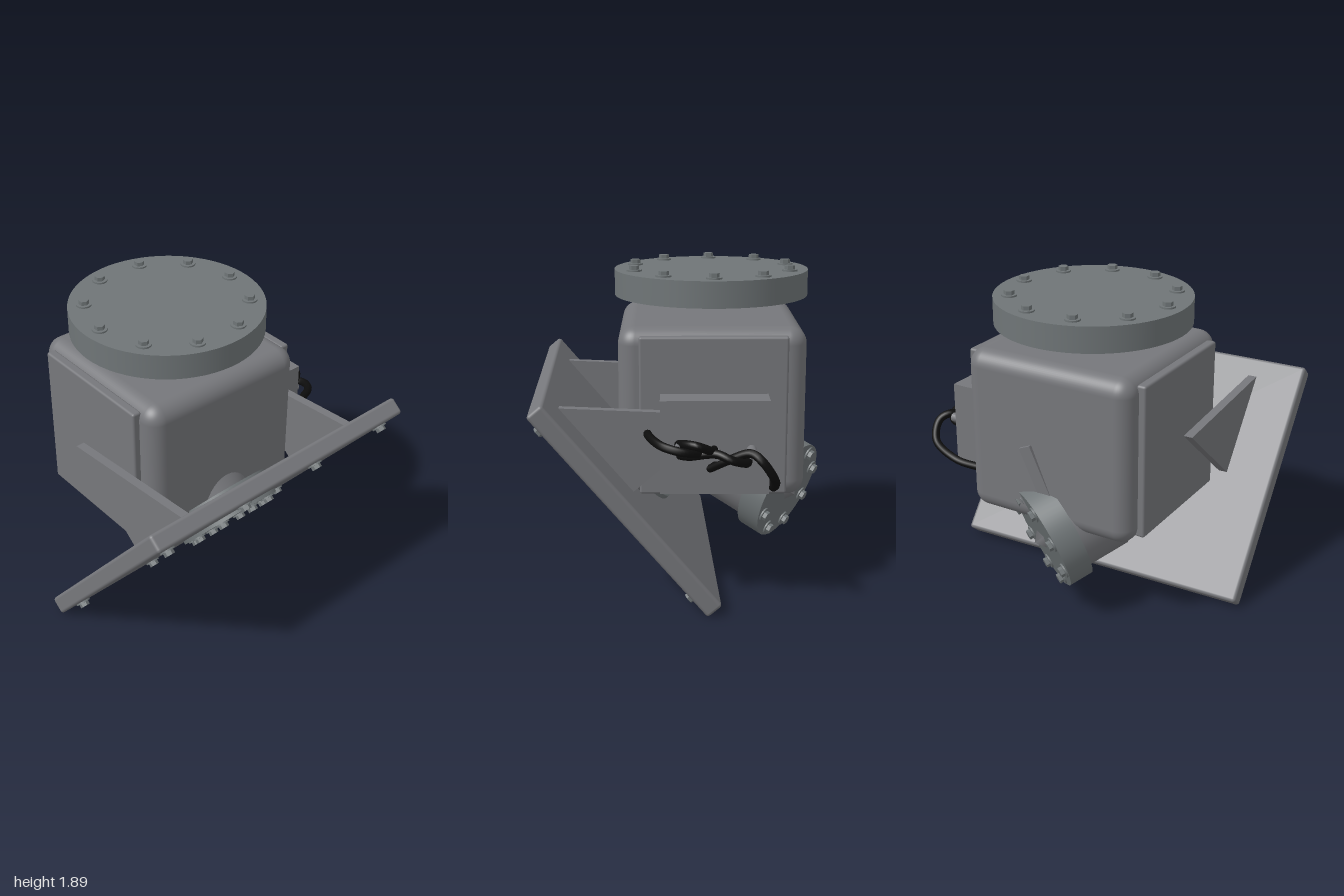
import * as THREE from 'three';
import { RoundedBoxGeometry } from 'three/addons/geometries/RoundedBoxGeometry.js';

const steel = new THREE.MeshStandardMaterial({ color: 0x76777b });
steel.name = 'steel grey';
const flangeGrey = new THREE.MeshStandardMaterial({ color: 0x6f7577 });
flangeGrey.name = 'flange grey';
const rubber = new THREE.MeshStandardMaterial({ color: 0x0d0d0d });
rubber.name = 'cable black';

const UP = new THREE.Vector3(0, 1, 0);

function add(parent, name, geometry, material, x = 0, y = 0, z = 0) {
  const mesh = new THREE.Mesh(geometry, material);
  mesh.name = name;
  mesh.position.set(x, y, z);
  parent.add(mesh);
  return mesh;
}

// Hex bolt on a washer, pointing up +y from its seat
const washerGeo = new THREE.CylinderGeometry(0.046, 0.046, 0.012, 20);
const headGeo = new THREE.CylinderGeometry(0.031, 0.031, 0.026, 6).toNonIndexed();
headGeo.computeVertexNormals();

function bolt(parent, x, y, z) {
  const g = new THREE.Group();
  g.name = 'bolt';
  g.position.set(x, y, z);
  add(g, 'washer', washerGeo, flangeGrey, 0, 0.004, 0);
  add(g, 'boltHead', headGeo, flangeGrey, 0, 0.021, 0);
  parent.add(g);
}

// Round flange whose outer face lies at local y = 0, with a ring of bolts
function flange(name, radius, thickness, count, ringRadius, phase = 0) {
  const g = new THREE.Group();
  g.name = name;
  add(g, 'flangeDisc', new THREE.CylinderGeometry(radius, radius, thickness, 64), flangeGrey, 0, -thickness / 2, 0);
  for (let i = 0; i < count; i++) {
    const a = phase + (i / count) * Math.PI * 2;
    bolt(g, Math.cos(a) * ringRadius, 0, Math.sin(a) * ringRadius);
  }
  return g;
}

// Tilted mounting plate with bolts, disc, gussets and neck
function buildPlate() {
  const g = new THREE.Group();
  g.name = 'mountingPlate';
  const t = 0.11;
  add(g, 'plate', new RoundedBoxGeometry(1.945, 1.545, t, 3, 0.02), steel);

  const face = new THREE.Group();
  face.name = 'plateFace';
  face.rotation.x = Math.PI / 2;
  face.position.z = t / 2;
  for (const x of [-0.855, -0.285, 0.285, 0.855])
    for (const z of [-0.65, 0.65]) bolt(face, x, 0, z);
  const disc = flange('frontFlange', 0.328, 0.022, 8, 0.266);
  disc.position.y = 0.022;
  face.add(disc);
  g.add(face);

  // Rear disc and neck into the housing
  const rear = add(g, 'innerDisc', new THREE.CylinderGeometry(0.328, 0.328, 0.03, 64), flangeGrey, 0, 0, -t / 2 - 0.014);
  rear.rotation.x = Math.PI / 2;
  const neck = add(g, 'frontNeck', new THREE.CylinderGeometry(0.2, 0.27, 0.25, 48), steel, 0, 0, -0.18);
  neck.rotation.x = Math.PI / 2;

  // Triangular gussets, one each side of the housing
  const tri = new THREE.Shape();
  tri.moveTo(0.05, 0);
  tri.lineTo(0.755, 0);
  tri.lineTo(0.05, 0.655);
  tri.closePath();
  const gussetGeo = new THREE.ExtrudeGeometry(tri, { depth: 0.055, bevelEnabled: false });
  gussetGeo.translate(0, 0, -0.0275);
  gussetGeo.rotateY(Math.PI / 2);
  for (const s of [-1, 1]) add(g, 'gusset', gussetGeo, steel, 0.65 * s, 0, 0);

  g.rotation.set(THREE.MathUtils.degToRad(40), 0.033, 0, 'YXZ');
  g.position.set(-0.005, 0.627, 0.32);
  return g;
}

// Angled outlet at the lower back
function buildRearOutlet() {
  const g = new THREE.Group();
  g.name = 'rearOutlet';
  const n = new THREE.Vector3(0.52, -0.35, -0.78).normalize();
  const f = flange('rearFlange', 0.325, 0.15, 8, 0.266, 0.2);
  add(f, 'rearNeck', new THREE.CylinderGeometry(0.28, 0.28, 0.3, 48), steel, 0, -0.28, 0);
  f.quaternion.setFromUnitVectors(UP, n);
  f.position.set(0.042, 0.46, -0.697);
  g.add(f);

  // Bracing rib running up the back of the housing
  const a = new THREE.Vector3(0.11, 1.07, -0.715);
  const b = new THREE.Vector3(-0.08, 0.62, -0.69);
  const dir = a.clone().sub(b);
  const rib = add(g, 'rearRib', new THREE.BoxGeometry(0.08, dir.length(), 0.1), steel);
  rib.quaternion.setFromUnitVectors(UP, dir.normalize());
  rib.position.copy(a).add(b).multiplyScalar(0.5);

  // Rib tip showing through the flange face
  const tip = add(f, 'ribTip', new THREE.ConeGeometry(0.09, 0.07, 3), steel, 0, 0.02, 0);
  tip.rotation.y = 0.6;
  return g;
}

// Side junction box with stubs and looping cables
function buildJunctionBox() {
  const g = new THREE.Group();
  g.name = 'junctionBox';
  add(g, 'boxBody', new THREE.BoxGeometry(0.17, 0.54, 0.615), steel, 0.715, 0.96, -0.205);
  for (const [y, z] of [[0.95, -0.41], [0.94, -0.21], [0.98, -0.01]]) {
    const stub = add(g, 'cableGland', new THREE.CylinderGeometry(0.028, 0.028, 0.1, 16), steel, 0.85, y, z);
    stub.rotation.z = Math.PI / 2;
  }
  const paths = [
    [[0.57, 0.72, -0.535], [0.8, 0.73, -0.535], [0.95, 0.82, -0.53], [0.975, 0.93, -0.46], [0.93, 0.965, -0.4], [0.87, 0.91, -0.28], [0.79, 0.84, -0.18]],
    [[0.57, 0.89, -0.39], [0.8, 0.9, -0.39], [0.93, 0.91, -0.37], [0.975, 0.94, -0.29], [0.94, 0.965, -0.21], [0.86, 0.93, -0.06], [0.79, 0.915, -0.01]],
    [[0.57, 0.95, -0.2], [0.8, 0.95, -0.2], [0.93, 0.98, -0.18], [0.975, 1.02, -0.1], [0.92, 1.015, -0.04], [0.79, 0.98, 0]],
    [[0.57, 1.0, 0.18], [0.75, 1.01, 0.16], [0.92, 1.0, 0.08], [0.96, 0.98, -0.03], [0.9, 0.96, -0.12], [0.79, 0.93, -0.2]],
  ];
  for (const p of paths) {
    const curve = new THREE.CatmullRomCurve3(p.map((v) => new THREE.Vector3(...v)));
    add(g, 'cable', new THREE.TubeGeometry(curve, 48, 0.025, 10), rubber);
    for (const end of [p[0], p[p.length - 1]]) add(g, 'cableEnd', new THREE.SphereGeometry(0.025, 10, 8), rubber, ...end);
  }
  return g;
}

export function createModel() {
  const model = new THREE.Group();
  model.name = 'flangedHousing';

  // Housing and side covers
  add(model, 'housing', new RoundedBoxGeometry(1.1, 1.01, 1.09, 6, 0.1), steel, -0.02, 1.08, -0.2);
  for (const s of [-1, 1])
    add(model, 'sideCover', new RoundedBoxGeometry(0.06, 0.93, 0.855, 2, 0.014), steel, -0.02 + s * 0.562, 1.08, -0.205);

  // Top flange
  const top = flange('topFlange', 0.585, 0.155, 10, 0.487);
  top.position.set(-0.022, 1.86, -0.207);
  model.add(top);

  model.add(buildPlate(), buildRearOutlet(), buildJunctionBox());
  return model;
}
